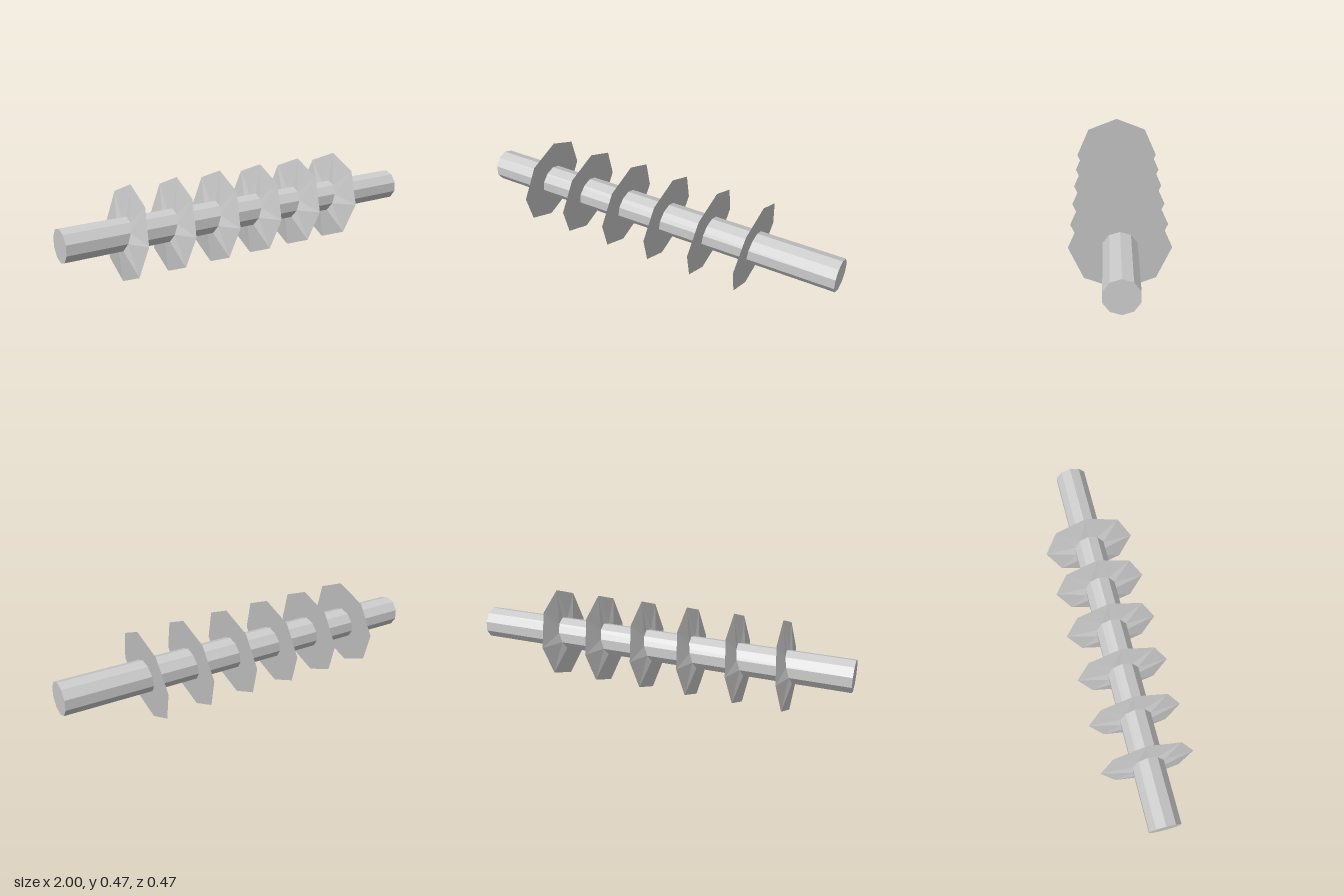
import * as THREE from 'three';

const AXIS_Y = 0.237;
const SHAFT_R = 0.083, BLADE_R = 0.237;
const SHAFT_SIDES = 10, BLADE_SIDES = 8;

// Wedge blade: a flat tilted face towards +x, and a bulged face towards -x
// that swells to its thickest under the shaft and meets the other at a sharp rim.
function bladeGeometry() {
  const ringPoint = (i, sides, r, offset, slope) => {
    const a = (i / sides) * Math.PI * 2;
    const y = r * Math.cos(a);
    return [offset + slope * y, y, r * Math.sin(a)];
  };
  const rim = i => ringPoint(i, BLADE_SIDES, BLADE_R, 0, 0.128);
  const flatRoot = i => ringPoint(i, SHAFT_SIDES, SHAFT_R, 0, 0.128);
  const bulgeRoot = i => ringPoint(i, SHAFT_SIDES, SHAFT_R, -0.022, 0.31);
  const pos = [];
  const tri = (...corners) => corners.forEach(c => pos.push(...c));

  // Join the eight-sided rim to the ten-sided root, always taking the nearer corner
  let i = 0, j = 0;
  while (i < BLADE_SIDES || j < SHAFT_SIDES) {
    if (j >= SHAFT_SIDES || (i < BLADE_SIDES && (i + 1) / BLADE_SIDES <= (j + 1) / SHAFT_SIDES)) {
      tri(rim(i), rim(i + 1), flatRoot(j));
      tri(rim(i + 1), rim(i), bulgeRoot(j));
      i++;
    } else {
      tri(flatRoot(j), rim(i), flatRoot(j + 1));
      tri(rim(i), bulgeRoot(j), bulgeRoot(j + 1));
      j++;
    }
  }
  const g = new THREE.BufferGeometry();
  g.setAttribute('position', new THREE.Float32BufferAttribute(pos, 3));
  g.computeVertexNormals();
  return g;
}

export function createModel() {
  const model = new THREE.Group();
  model.name = 'bladedShaft';
  const material = new THREE.MeshStandardMaterial({ color: 0xcccccc, flatShading: true });

  // Ten-sided shaft along x, one corner straight up
  const shaftGeometry = new THREE.CylinderGeometry(SHAFT_R, SHAFT_R, 2, SHAFT_SIDES, 1, false, Math.PI / 2);
  shaftGeometry.rotateZ(Math.PI / 2);
  const shaft = new THREE.Mesh(shaftGeometry, material);
  shaft.name = 'shaft';
  shaft.position.y = AXIS_Y;
  model.add(shaft);

  // Six evenly spaced blades
  const geometry = bladeGeometry();
  for (let k = 0; k < 6; k++) {
    const blade = new THREE.Mesh(geometry, material);
    blade.name = 'blade' + (k + 1);
    blade.position.set(-0.67 + k * 0.246, AXIS_Y, 0);
    model.add(blade);
  }
  return model;
}
